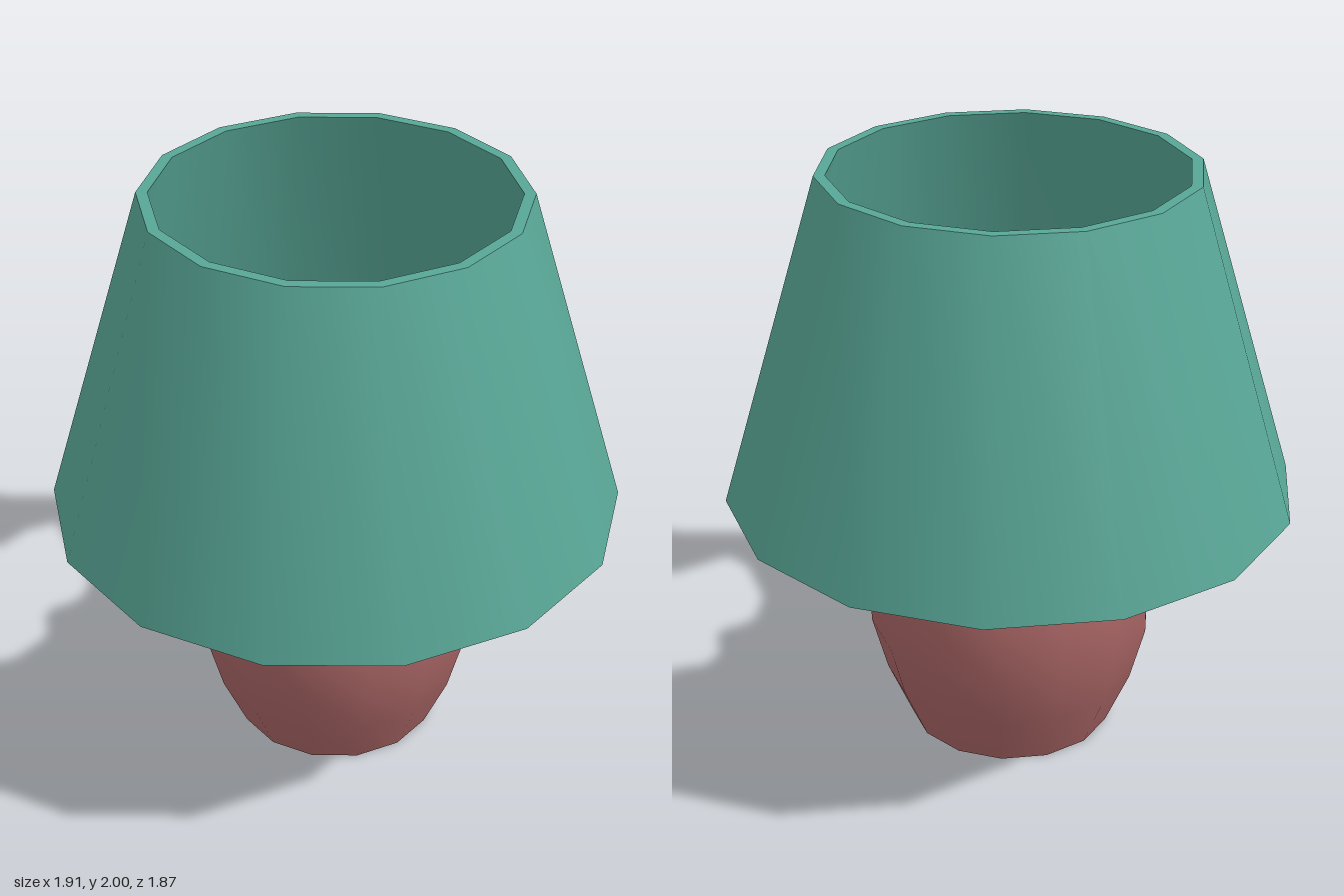
import * as THREE from 'three';
import { toCreasedNormals } from 'three/addons/utils/BufferGeometryUtils.js';

const SIDES = 14;

function lathe(points) {
  const profile = points.map(([r, y]) => new THREE.Vector2(r, y));
  return new THREE.LatheGeometry(profile, SIDES, Math.PI / 2);
}

export function createModel() {
  const group = new THREE.Group();
  group.name = 'tableLamp';

  const red = new THREE.MeshStandardMaterial({ color: 0xa86464 });
  const teal = new THREE.MeshStandardMaterial({ color: 0x58a696 });
  const olive = new THREE.MeshStandardMaterial({ color: 0x9a9a50 });
  const blue = new THREE.MeshStandardMaterial({ color: 0x6464a4 });

  const add = (name, geometry, material, parent = group) => {
    const mesh = new THREE.Mesh(geometry, material);
    mesh.name = name;
    parent.add(mesh);
    return mesh;
  };

  // Bulging base: sine profile in five bands, closed on top
  const baseHeight = 0.97;
  const profile = [];
  for (let i = 0; i <= 5; i++) {
    profile.push([0.35 + 0.142 * Math.sin((Math.PI * i) / 5), (baseHeight * i) / 5]);
  }
  profile.push([0, baseHeight]);
  add('base', lathe(profile), red);
  add('baseBottom', new THREE.CircleGeometry(0.35, SIDES).rotateX(Math.PI / 2), red);

  // Hollow conical shade with wall thickness
  const shade = lathe([
    [0.92, 0.885], [0.957, 0.885], [0.62, 2], [0.583, 2], [0.92, 0.885],
  ]);
  add('shade', toCreasedNormals(shade, 0.7), teal);

  // Bulb on its stem
  add('bulb', new THREE.SphereGeometry(0.112, 10, 8), blue).position.y = 1.257;
  add('bulbStem', new THREE.CylinderGeometry(0.045, 0.045, 0.22, 10), blue).position.y = 1.07;

  // Three spokes carrying the shade, angles measured from +x towards +z
  const spokes = new THREE.Group();
  spokes.name = 'shadeSpokes';
  spokes.position.y = 1.01;
  group.add(spokes);
  const length = 0.88;
  for (const degrees of [-90, 18, 122]) {
    const rod = new THREE.CylinderGeometry(0.012, 0.012, length, 6);
    rod.rotateZ(-Math.PI / 2).translate(length / 2, 0, 0);
    add('spoke', rod, olive, spokes).rotation.y = -THREE.MathUtils.degToRad(degrees);
  }

  return group;
}
